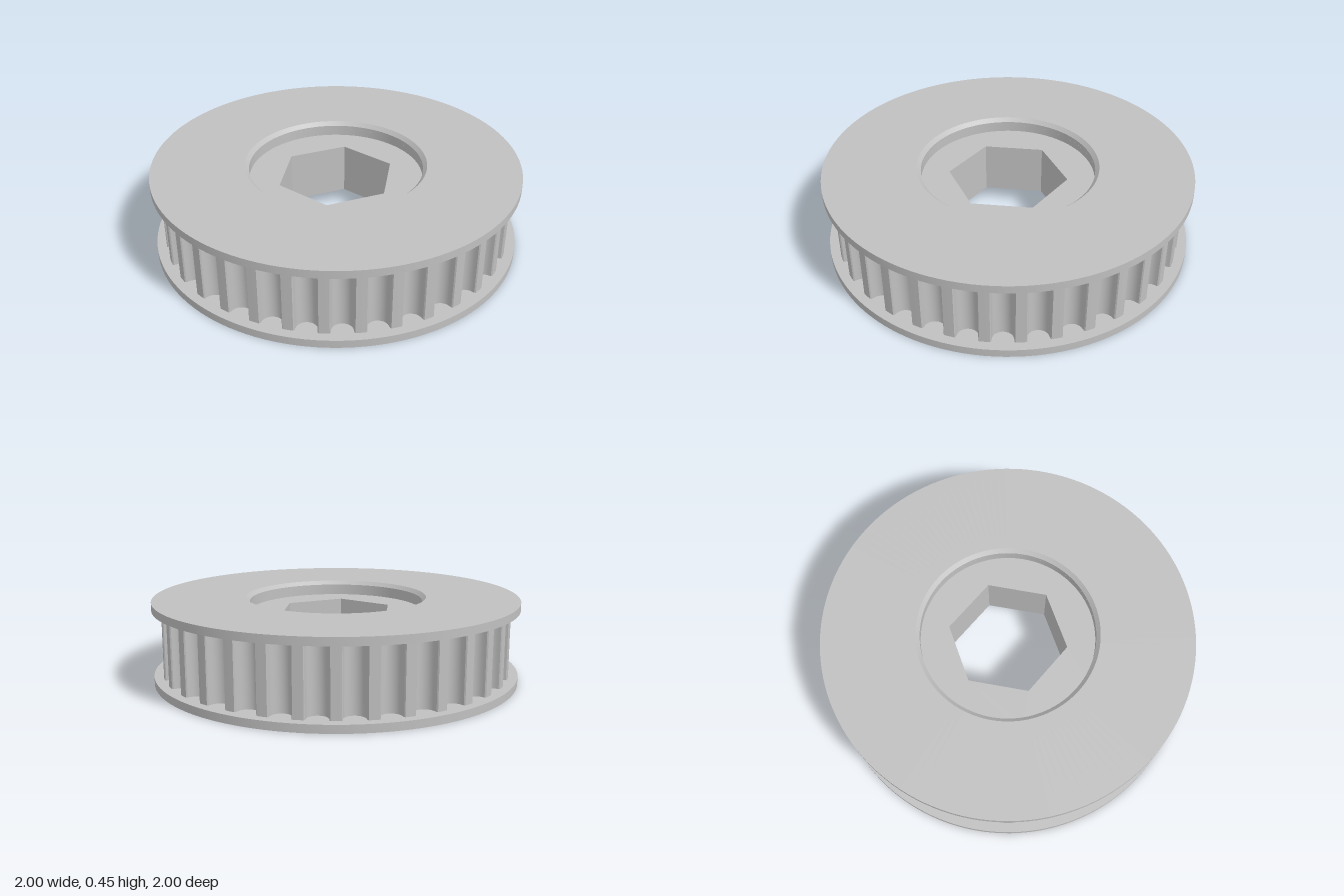
import * as THREE from 'three';
import { toCreasedNormals } from 'three/addons/utils/BufferGeometryUtils.js';

const HEIGHT = 0.447, FLANGE = 0.043, RECESS = 0.08;
const BORE = 0.473, TOOTH_R = 0.95, TEETH = 34;

// Extrudes a plan shape upwards between two heights
function slab(shape, y0, y1, curveSegments = 96) {
  const geo = new THREE.ExtrudeGeometry(shape, { depth: y1 - y0, bevelEnabled: false, curveSegments });
  geo.rotateX(-Math.PI / 2).translate(0, y0, 0);
  return toCreasedNormals(geo, 0.6);
}

// Outline with round-bottomed grooves and slightly softened tooth tips
function toothedOutline() {
  const groove = [[-0.061, 0.948], [-0.056, 0.942]];
  for (let i = 0; i <= 12; i++) {
    const a = Math.PI * (1 + i / 12);
    groove.push([0.055 * Math.cos(a), 0.93 + 0.055 * Math.sin(a)]);
  }
  groove.push([0.056, 0.942], [0.061, 0.948]);

  const pts = [];
  const pitch = (2 * Math.PI) / TEETH;
  for (let k = 0; k < TEETH; k++) {
    const mid = Math.PI / 2 + k * pitch;
    // groove runs counter-clockwise, from low angle to high
    for (const [u, r] of groove) {
      const a = mid + Math.atan2(u, r), d = Math.hypot(u, r);
      pts.push(new THREE.Vector2(d * Math.cos(a), d * Math.sin(a)));
    }
    const land = mid + pitch / 2;
    pts.push(new THREE.Vector2(TOOTH_R * Math.cos(land), TOOTH_R * Math.sin(land)));
  }
  return new THREE.Shape(pts);
}

export function createModel() {
  const group = new THREE.Group();
  const metal = new THREE.MeshStandardMaterial({ color: 0xc0c0c0 });
  metal.name = 'light grey metal';

  const add = (name, geo) => {
    const mesh = new THREE.Mesh(geo, metal);
    mesh.name = name;
    group.add(mesh);
    return mesh;
  };

  // Toothed band
  const band = toothedOutline();
  band.holes.push(new THREE.Path().absarc(0, 0, BORE, 0, Math.PI * 2, true));
  add('toothedBand', slab(band, FLANGE, HEIGHT - FLANGE, 48));

  // Recessed hub web with hexagonal bore, corners pointing front and back
  const web = new THREE.Shape().absarc(0, 0, BORE + 0.005, 0, Math.PI * 2, false);
  const hex = [];
  for (let i = 0; i < 6; i++) {
    const a = Math.PI / 2 - (i * Math.PI) / 3;
    hex.push(new THREE.Vector2(0.325 * Math.cos(a), 0.325 * Math.sin(a)));
  }
  web.holes.push(new THREE.Path(hex));
  add('hubWeb', slab(web, RECESS, HEIGHT - RECESS, 48));

  // Flange discs with a chamfered central opening
  const profile = [
    [0.494, 0], [1, 0], [1, FLANGE], [BORE, FLANGE], [BORE, 0.021], [0.494, 0],
  ].map(([r, y]) => new THREE.Vector2(r, y));
  const flange = toCreasedNormals(new THREE.LatheGeometry(profile, 128), 0.6);
  add('bottomFlange', flange);
  const top = add('topFlange', flange);
  top.rotation.x = Math.PI;
  top.position.y = HEIGHT;

  return group;
}
